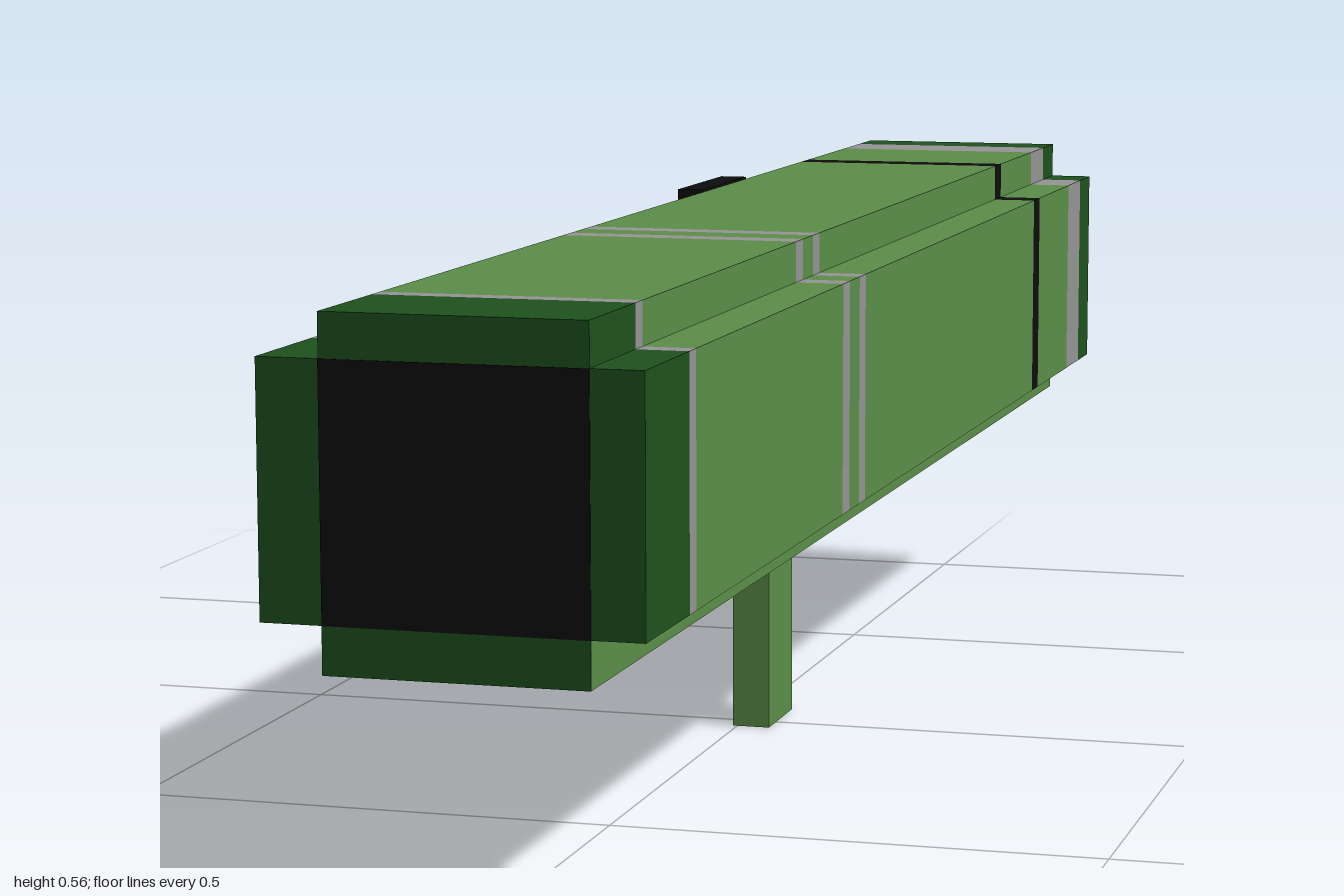
import * as THREE from 'three';

const mat = (color) => new THREE.MeshStandardMaterial({ color });

export function createModel() {
  const group = new THREE.Group();
  const green = mat(0x5b8e48), dark = mat(0x1e521e), black = mat(0x0d0d0d);
  const grey = mat(0x969496), mountGrey = mat(0x555555);

  // box given by its limits on each axis
  const box = (name, material, [x0, x1], [y0, y1], [z0, z1]) => {
    const mesh = new THREE.Mesh(new THREE.BoxGeometry(x1 - x0, y1 - y0, z1 - z0), material);
    mesh.position.set((x0 + x1) / 2, (y0 + y1) / 2, (z0 + z1) / 2);
    mesh.name = name;
    group.add(mesh);
  };

  // stepped tube section: wide body with a narrower raised top
  const inner = [-0.104, 0.141], outer = [-0.162, 0.19];
  const floor = 0.29, shoulder = 0.524, top = 0.565;
  const outline = [
    [outer[1], floor], [outer[1], shoulder], [inner[1], shoulder], [inner[1], top],
    [inner[0], top], [inner[0], shoulder], [outer[0], shoulder], [outer[0], floor],
  ];
  // the rear sections are open down to the bottom rail
  const notch = [[inner[0], floor], [inner[0], shoulder], [inner[1], shoulder], [inner[1], floor]];
  const section = (name, material, z0, z1, hollow) => {
    const points = hollow ? [...outline, ...notch] : outline;
    const shape = new THREE.Shape(points.map(([x, y]) => new THREE.Vector2(x, y)));
    const geometry = new THREE.ExtrudeGeometry(shape, { depth: z1 - z0, bevelEnabled: false });
    const mesh = new THREE.Mesh(geometry, material);
    mesh.position.z = z0;
    mesh.name = name;
    group.add(mesh);
  };

  // sections from back to front: name, material, front limit
  let z = -1;
  for (const [name, material, end, hollow] of [
    ['rearCollar', dark, -0.936, true],
    ['rearBand', grey, -0.858, true],
    ['rearTube', green, -0.673, false],
    ['blackBand', black, -0.638, false],
    ['middleTube', green, 0.222, false],
    ['middleBandBack', grey, 0.248, false],
    ['middleTubeGap', green, 0.288, false],
    ['middleBandFront', grey, 0.316, false],
    ['frontTube', green, 0.845, false],
    ['frontBand', grey, 0.866, false],
    ['frontCollar', dark, 0.999, false],
  ]) {
    section(name, material, z, end, hollow);
    z = end;
  }

  // bottom rail and front cover
  box('bottomRail', green, inner, [0.246, floor], [-1, 0.998]);
  box('bottomRailCap', dark, inner, [0.246, floor], [0.998, 1]);
  box('muzzleCover', black, inner, [floor, shoulder], [0.998, 1]);

  // black lining of the open rear end
  const t = 0.002, depth = [-0.999, -0.858];
  box('liningLeft', black, [inner[1] - t, inner[1]], [floor, shoulder], depth);
  box('liningRight', black, [inner[0], inner[0] + t], [floor, shoulder], depth);
  box('liningTop', black, inner, [shoulder - t, shoulder], depth);

  // grip with the rails around it
  const gripX = [-0.005, 0.036];
  box('grip', green, gripX, [0, 0.226], [-0.068, 0.03]);
  box('gripRail', green, gripX, [0.217, 0.246], [-0.043, 0.16]);
  box('gripTab', green, gripX, [0.226, 0.246], [-0.14, -0.068]);

  // dark pads on the underside
  box('rearPad', black, [-0.01, 0.056], [0.244, 0.247], [-0.765, -0.7]);
  box('frontPad', black, [0.004, 0.02], [0.244, 0.247], [0.78, 0.87]);

  // sight on the right side, on two mounts
  box('sight', black, [-0.193, -0.162], [0.524, 0.549], [-0.59, -0.4]);
  for (const mz of [-0.55, -0.44]) {
    box('sightMount', mountGrey, [-0.183, -0.162], [0.502, 0.524], [mz - 0.015, mz + 0.015]);
  }

  return group;
}
